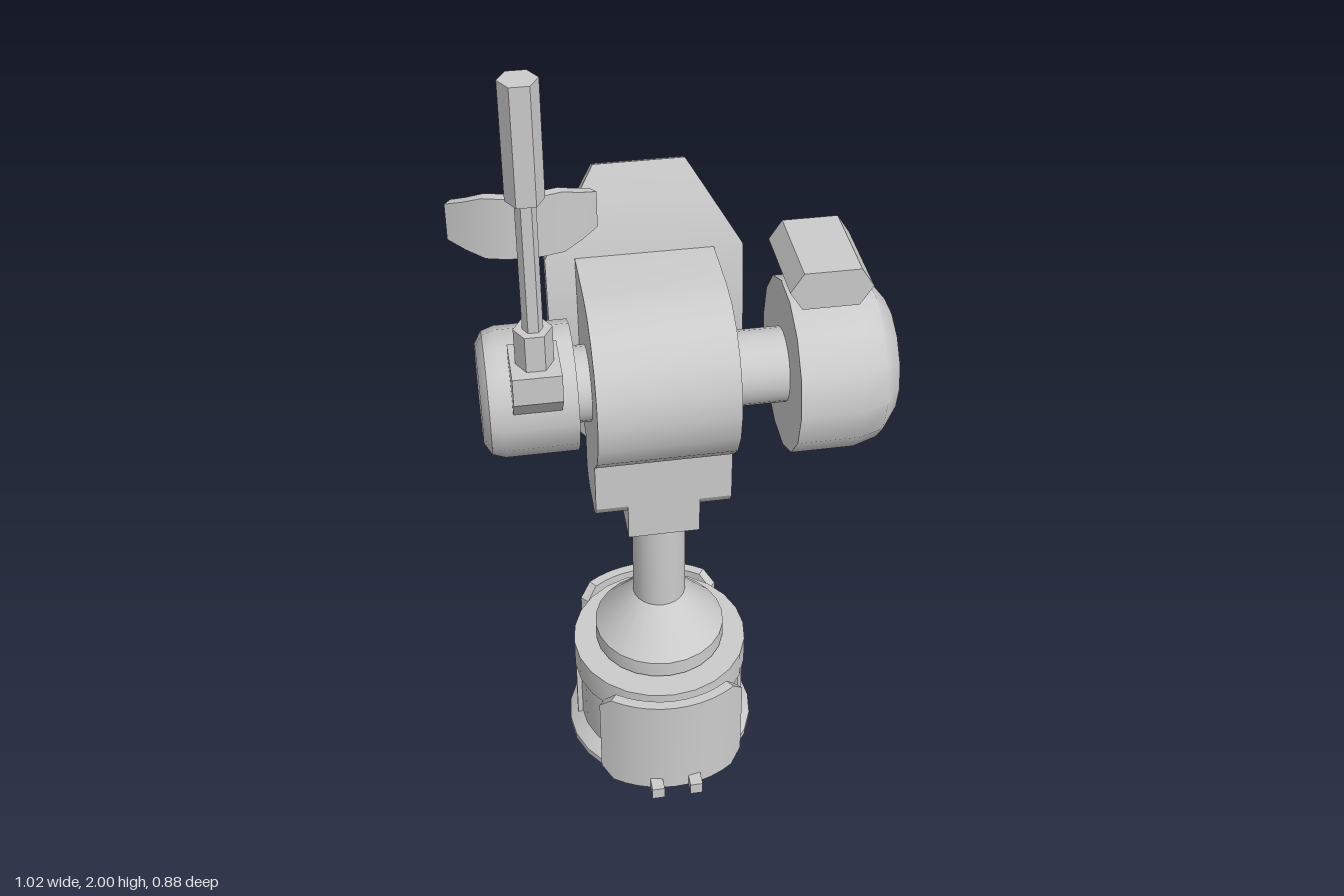
import * as THREE from 'three';
import { toCreasedNormals } from 'three/addons/utils/BufferGeometryUtils.js';

const CX = -0.055, CZ = 0.14; // axis of the post
const AY = 1.148; // height of the swivel axle

export function createModel() {
  const model = new THREE.Group();
  const material = new THREE.MeshStandardMaterial({ color: 0xcccccc });
  const openMaterial = new THREE.MeshStandardMaterial({ color: 0xcccccc, side: THREE.DoubleSide });

  function add(name, geometry, x = 0, y = 0, z = 0, mat = material) {
    const mesh = new THREE.Mesh(geometry, mat);
    mesh.name = name;
    mesh.position.set(x, y, z);
    model.add(mesh);
    return mesh;
  }

  // Turned part from [radius, height] pairs
  const turned = (points, sides = 24) => toCreasedNormals(
    new THREE.LatheGeometry(points.map(p => new THREE.Vector2(...p)), sides), 0.65);

  // Prism from an outline, centred on its depth along z
  function prism(points, depth) {
    const shape = new THREE.Shape(points.map(p => new THREE.Vector2(...p)));
    const g = new THREE.ExtrudeGeometry(shape, { depth, bevelEnabled: false });
    return toCreasedNormals(g.translate(0, 0, -depth / 2), 0.5);
  }
  // Prism along x from a [z, y] outline
  const sidePrism = (points, depth) => prism(points, depth).rotateY(-Math.PI / 2);

  // Round bar between two points
  function bar(name, a, b, radius, sides = 8) {
    const from = new THREE.Vector3(...a), to = new THREE.Vector3(...b);
    const dir = to.clone().sub(from);
    const mesh = add(name, new THREE.CylinderGeometry(radius, radius, dir.length(), sides));
    mesh.position.copy(from).add(to).multiplyScalar(0.5);
    mesh.quaternion.setFromUnitVectors(new THREE.Vector3(0, 1, 0), dir.normalize());
    return mesh;
  }

  // Plate bent along x, bulging to +z; outline is [distance, half height] from end to end
  function bentPlate(outline, thickness, R, steps) {
    const stations = [];
    outline.slice(1).forEach(([u1, h1], i) => {
      const [u0, h0] = outline[i];
      const n = Math.max(1, Math.round(steps * (u1 - u0) / (outline.at(-1)[0] - outline[0][0])));
      for (let k = 0; k < n; k++) stations.push([u0 + (u1 - u0) * k / n, h0 + (h1 - h0) * k / n]);
    });
    stations.push(outline.at(-1));
    // Corners: outer low, outer high, inner high, inner low
    const rings = stations.map(([u, h]) => {
      const at = (r, y) => [r * Math.sin(u / R), y, r * Math.cos(u / R) - R];
      return [at(R, -h), at(R, h), at(R - thickness, h), at(R - thickness, -h)];
    });
    const pos = [];
    const quad = (a, b, c, d) => pos.push(...a, ...b, ...c, ...a, ...c, ...d);
    for (let i = 0; i + 1 < rings.length; i++) {
      const p = rings[i], q = rings[i + 1];
      for (let j = 0; j < 4; j++) quad(p[j], q[j], q[(j + 1) % 4], p[(j + 1) % 4]);
    }
    quad(...rings[0]);
    quad(...[...rings.at(-1)].reverse());
    const g = new THREE.BufferGeometry();
    g.setAttribute('position', new THREE.Float32BufferAttribute(pos, 3));
    return toCreasedNormals(g, 0.5);
  }
  const mirrored = half => [...half.map(([u, h]) => [-u, h]), ...[...half].reverse()];

  // Base drum, open underneath
  add('baseDrum', turned([[0.2, 0.26], [0.2, 0], [0.245, 0], [0.245, 0.018], [0.212, 0.045],
    [0.212, 0.22], [0.225, 0.22], [0.225, 0.3], [0, 0.3]]), CX, 0, CZ, openMaterial);

  // Curved guard panels with feet, front and back
  const panel = bentPlate(mirrored([[0.204, 0.115], [0.168, 0.15]]), 0.025, 0.27, 12);
  for (const s of [1, -1]) {
    add('guardPanel', panel, CX, 0.15, CZ + s * 0.27).rotation.y = s > 0 ? 0 : Math.PI;
    for (const dx of [-0.05, 0.05])
      add('foot', new THREE.BoxGeometry(0.032, 0.034, 0.08), CX + dx, 0.017, CZ + s * 0.26);
  }
  // Upright ribs on both sides of the drum
  for (const side of [0, Math.PI]) for (const turn of [-0.72, 0, 0.72]) {
    const a = side + turn;
    add('drumRib', new THREE.BoxGeometry(0.02, 0.18, 0.014),
      CX + 0.214 * Math.cos(a), 0.13, CZ - 0.214 * Math.sin(a)).rotation.y = a;
  }

  // Collar, cone and post
  add('postAndCollar', turned([[0.15, 0.295], [0.15, 0.31], [0.167, 0.31], [0.167, 0.355],
    [0.067, 0.465], [0.067, 0.75]]), CX, 0, CZ);

  // Yoke block and hinge barrel
  add('yokeBlock', new THREE.BoxGeometry(0.175, 0.23, 0.18), CX, 0.845, CZ);
  add('hingeBarrel', sidePrism([[-0.09, 0.12], [-0.09, -0.045], [-0.075, -0.07], [-0.05, -0.085],
    [0.05, -0.085], [0.075, -0.07], [0.09, -0.045], [0.09, 0.12]], 0.33), CX, 0.875, CZ);

  // Main housing: flat back, round front
  const housing = [[-0.05, 0.22], [-0.05, -0.22]];
  for (let i = 0; i <= 10; i++) {
    const a = -Math.PI / 2 + Math.PI * i / 10;
    housing.push([0.11 + 0.22 * Math.cos(a), 0.22 * Math.sin(a)]);
  }
  add('mainHousing', sidePrism(housing, 0.33), CX, AY - 0.003, 0);

  // Axle and the two side pods
  const axle = [0, AY, 0.145];
  bar('axle', [-0.3, AY, 0.145], [0.3, AY, 0.145], 0.09, 20);
  add('largePod', turned([[0, 0.24], [0.21, 0.24], [0.21, 0.39], [0.194, 0.445], [0.14, 0.487],
    [0.06, 0.508], [0, 0.51]], 14), ...axle).rotation.z = -Math.PI / 2;
  add('smallPod', turned([[0, 0.255], [0.153, 0.255], [0.153, 0.425], [0.143, 0.455],
    [0.115, 0.472], [0, 0.472]], 14), ...axle).rotation.z = Math.PI / 2;

  // Sensor on the large pod
  add('sensorStem', new THREE.CylinderGeometry(0.033, 0.033, 0.07, 12), 0.313, 1.365, 0.145);
  add('sensorBox', prism([[-0.095, 0], [-0.065, -0.047], [0.065, -0.047], [0.095, 0],
    [0.065, 0.047], [-0.065, 0.047]], 0.228), 0.315, 1.432, 0.156);

  // Mast on the small pod
  const MX = -0.348, MZ = 0.278;
  add('mastBracket', sidePrism([[0.34, 1.32], [0.205, 1.32], [0.205, 1.17], [0.275, 1.17],
    [0.34, 1.25]], 0.11), MX, 0, 0);
  const hexRod = (name, radius, y0, y1) => {
    const g = new THREE.CylinderGeometry(radius, radius, y1 - y0, 6).rotateY(Math.PI / 6);
    add(name, toCreasedNormals(g, 0.5), MX, (y0 + y1) / 2, MZ);
  };
  hexRod('mastSocket', 0.043, 1.32, 1.41);
  hexRod('mastRod', 0.023, 1.41, 1.73);
  hexRod('mastTip', 0.042, 1.73, 2);

  // Small reflector on the mast
  add('smallReflector', bentPlate(mirrored([[0.172, 0.043], [0.085, 0.073]]), 0.022, 0.26, 8),
    MX - 0.003, 1.642, 0.25);
  bar('smallReflectorPin', [MX - 0.003, 1.642, 0.24], [MX - 0.003, 1.642, 0.127], 0.011);

  // Large reflector, hollow side to the back
  add('largeReflector', bentPlate(mirrored([[0.435, 0.108], [0.22, 0.235]]), 0.045, 0.93, 12),
    CX, AY, -0.027).rotation.z = Math.PI / 2;

  // Feed horn on its stem, with four struts
  const horn = (name, radius, z0, z1, sides) =>
    bar(name, [CX, AY, z0], [CX, AY, z1], radius, sides);
  horn('feedHub', 0.062, -0.05, -0.105, 8);
  horn('feedStem', 0.035, -0.1, -0.22, 12);
  horn('feedHorn', 0.069, -0.212, -0.442, 14);
  for (const sx of [-1, 1]) for (const sy of [-1, 1])
    bar('feedStrut', [CX + sx * 0.045, AY + sy * 0.045, -0.305],
      [CX + sx * 0.215, AY + sy * 0.2, -0.09], 0.012);

  return model;
}
